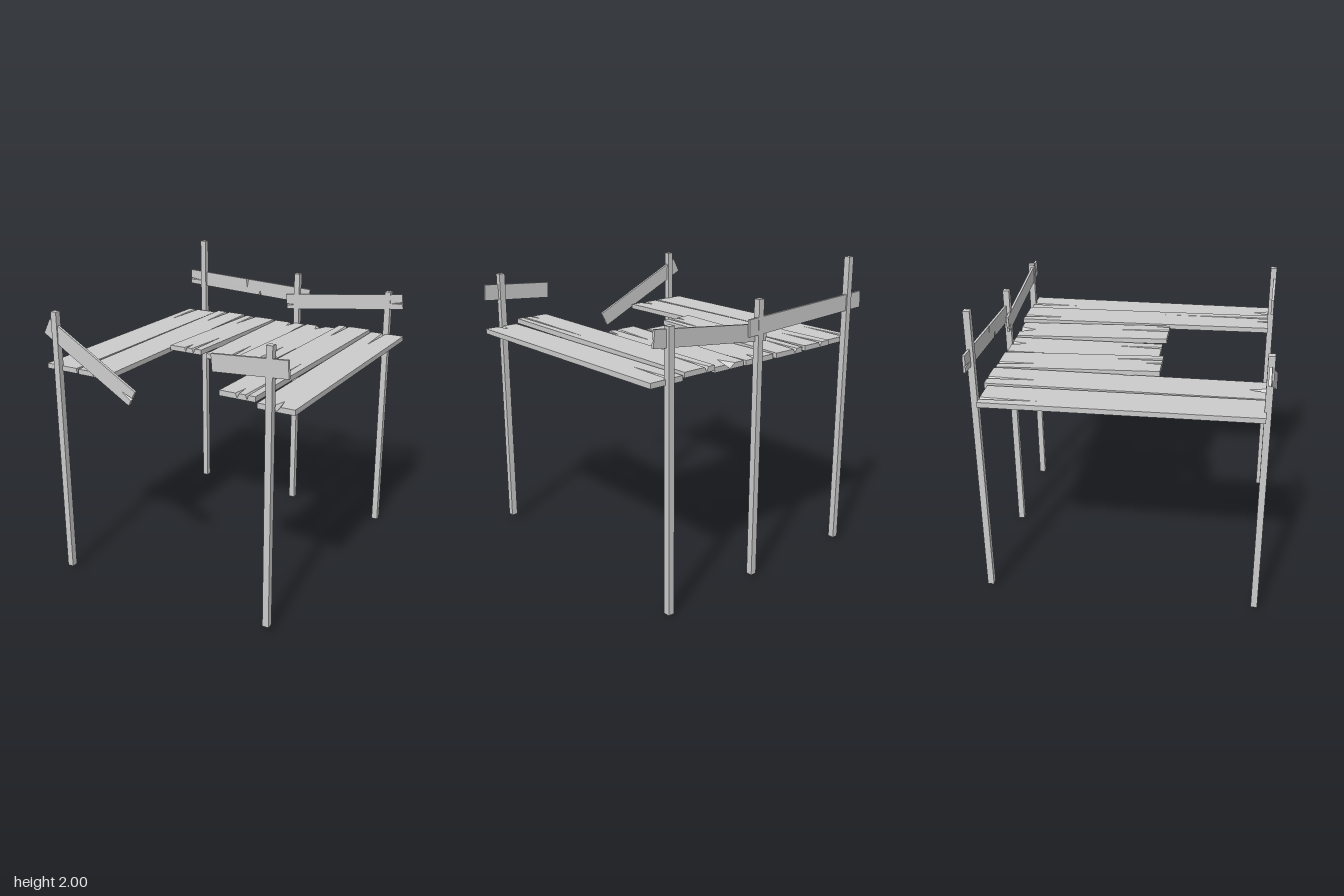
import * as THREE from 'three';

const V2 = (x, y) => new THREE.Vector2(x, y);
const V3 = (x, y, z) => new THREE.Vector3(x, y, z);
const material = new THREE.MeshStandardMaterial({ color: 0xcccccc, flatShading: true });

// Weathered board: length along x, width along y, V-shaped splits cut into its +z face.
// Each split is [edge, position 0..1 along that edge, mouth width, length];
// edges run counter-clockwise: 0 = -y side, 1 = far end, 2 = +y side, 3 = near end.
function boardGeometry(L, W, T, splits) {
  const pos = [];
  const tri = (...pts) => pts.forEach((p) => pos.push(p.x, p.y, p.z));
  const fill = (flat, to3D) => {
    for (const f of THREE.ShapeUtils.triangulateShape(flat, [])) tri(...f.map((i) => to3D(flat[i])));
  };
  const top = T / 2, bottom = -T / 2;
  const corners = [V2(0, -W / 2), V2(L, -W / 2), V2(L, W / 2), V2(0, W / 2)];
  const outline = [];

  corners.forEach((c, e) => {
    const next = corners[(e + 1) % 4];
    const len = c.distanceTo(next);
    const dir = next.clone().sub(c).normalize();
    const at = (s, inward = 0) => V2(c.x + dir.x * s - dir.y * inward, c.y + dir.y * s + dir.x * inward);
    const lift = (p, z) => V3(p.x, p.y, z);
    const own = splits.filter((k) => k[0] === e).sort((a, b) => a[1] - b[1]);
    const rim = [];
    outline.push(c.clone());
    for (const [, f, w, l] of own) {
      const s = f * len, a = s - w / 2, b = s + w / 2, deep = top - T * 0.85;
      outline.push(at(a), at(s, l), at(b));
      rim.push(V2(a, top), V2(s, deep), V2(b, top));
      // the two sloping walls of the split
      const m = lift(at(s), deep), tip = lift(at(s, l), top);
      tri(lift(at(a), top), m, tip);
      tri(tip, m, lift(at(b), top));
    }
    // edge face with the notched upper rim
    fill([V2(0, bottom), V2(len, bottom), V2(len, top), ...rim.reverse(), V2(0, top)],
      (p) => lift(at(p.x), p.y));
  });

  fill(outline, (p) => V3(p.x, p.y, top));
  const [a, b, c, d] = corners.map((p) => V3(p.x, p.y, bottom));
  tri(a, c, b);
  tri(a, d, c);
  const g = new THREE.BufferGeometry();
  g.setAttribute('position', new THREE.Float32BufferAttribute(pos, 3));
  g.computeVertexNormals();
  return g;
}

// Lay a board between two end points, its split face towards "facing"
function board(name, from, to, facing, width, thickness, splits = []) {
  const start = V3(...from), x = V3(...to).sub(start);
  const mesh = new THREE.Mesh(boardGeometry(x.length(), width, thickness, splits), material);
  x.normalize();
  const y = V3(...facing).cross(x).normalize();
  const z = x.clone().cross(y);
  mesh.quaternion.setFromRotationMatrix(new THREE.Matrix4().makeBasis(x, y, z));
  mesh.position.copy(start);
  mesh.name = name;
  return mesh;
}

export function createModel() {
  const model = new THREE.Group();
  model.name = 'ruinedPlatform';

  // Posts: x, z, bottom, top
  const posts = new THREE.Group();
  posts.name = 'posts';
  for (const [x, z, y0, y1] of [
    [-0.765, -0.91, 0.03, 2.0],
    [0.05, -0.9, 0.02, 1.83],
    [0.76, -0.9, 0, 1.775],
    [-0.78, 0.86, 0.03, 1.825],
    [0.743, 0.87, 0.04, 1.83],
  ]) {
    const post = new THREE.Mesh(new THREE.BoxGeometry(0.042, y1 - y0, 0.042), material);
    post.position.set(x, (y0 + y1) / 2, z);
    post.name = 'post';
    posts.add(post);
  }

  // Floor planks: left x, right x, back z, front z, back y, front y, splits
  const floor = new THREE.Group();
  floor.name = 'floor';
  for (const [x0, x1, z0, z1, y0, y1, splits] of [
    [-0.88, -0.645, -0.865, 0.85, 1.443, 1.452, [[3, 0.75, 0.03, 0.36]]],
    [-0.63, -0.395, -0.89, 0.85, 1.45, 1.45,
      [[3, 0.64, 0.03, 0.33], [1, 0.5, 0.05, 0.11], [2, 0.5, 0.1, 0.01]]],
    [-0.375, -0.135, -0.885, 0.18, 1.445, 1.475,
      [[3, 0.72, 0.03, 0.29], [1, 0.75, 0.025, 0.36], [1, 0.5, 0.02, 0.1]]],
    [-0.115, 0.125, -0.875, 0.145, 1.443, 1.446, [[3, 0.42, 0.05, 0.1], [1, 0.72, 0.025, 0.32]]],
    [0.145, 0.385, -0.875, 0.17, 1.447, 1.476,
      [[3, 0.52, 0.08, 0.11], [1, 0.62, 0.03, 0.36], [1, 0.92, 0.03, 0.12]]],
    [0.4, 0.638, -0.89, 0.85, 1.468, 1.487,
      [[3, 0.73, 0.03, 0.32], [1, 0.5, 0.025, 0.1], [1, 0.77, 0.02, 0.75]]],
    [0.65, 0.89, -0.89, 0.85, 1.452, 1.452, [[3, 0.6, 0.03, 0.33], [1, 0.52, 0.05, 0.1]]],
  ]) {
    const x = (x0 + x1) / 2;
    floor.add(board('floorPlank', [x, y0, z0], [x, y1, z1], [0, 1, 0], x1 - x0, 0.034, splits));
  }

  // Railing boards nailed to the posts, one of them hanging loose
  const railing = new THREE.Group();
  railing.name = 'railing';
  const front = [0, 0, 1];
  railing.add(
    board('backLeftRail', [-0.888, 1.71, -0.916], [0.145, 1.665, -0.91], front, 0.107, 0.016,
      [[3, 0.65, 0.015, 0.1], [2, 0.51, 0.02, 0.065], [0, 0.6, 0.025, 0.035]]),
    board('backRightRail', [-0.03, 1.613, -0.885], [0.87, 1.715, -0.892], front, 0.107, 0.016,
      [[3, 0.7, 0.015, 0.07], [1, 0.4, 0.015, 0.09]]),
    board('frontRightRail', [0.366, 1.672, 0.87], [0.865, 1.71, 0.886], front, 0.108, 0.018),
    board('looseFrontRail', [-0.85, 1.722, 0.857], [-0.17, 1.37, 0.916], front, 0.108, 0.018,
      [[1, 0.45, 0.02, 0.09]]),
  );

  model.add(posts, floor, railing);
  return model;
}
